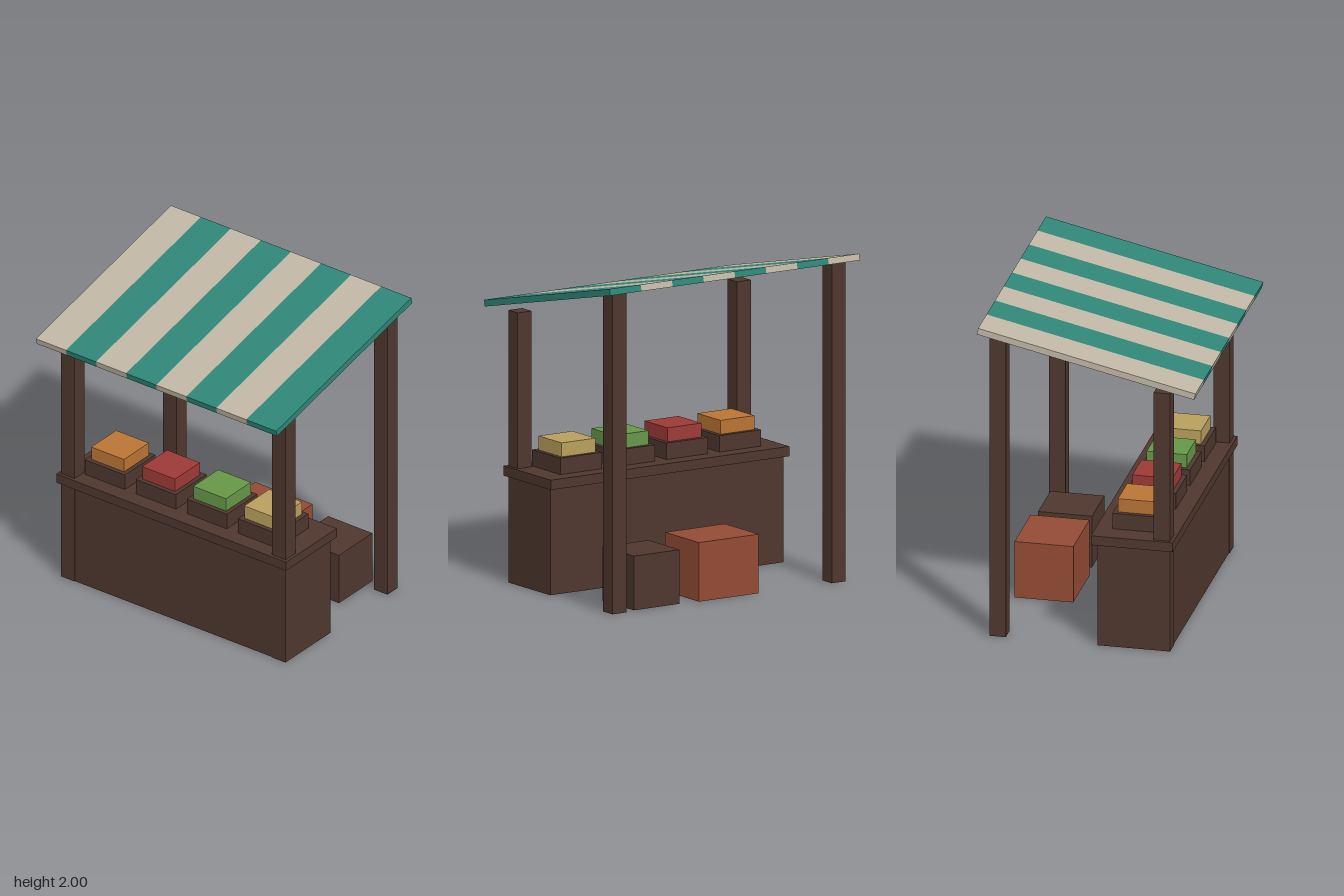
import * as THREE from 'three';

const mat = (name, color) => {
  const m = new THREE.MeshStandardMaterial({ color });
  m.name = name;
  return m;
};

export function createModel() {
  const wood = mat('dark wood', 0x4e372d);
  const cream = mat('cream cloth', 0xc0b6a5);
  const teal = mat('teal cloth', 0x2f8577);
  const terracotta = mat('terracotta', 0x934b35);
  const goods = [
    mat('orange goods', 0xb97435),
    mat('red goods', 0x9d3a37),
    mat('green goods', 0x669748),
    mat('yellow goods', 0xb89f5d),
  ];

  const stall = new THREE.Group();
  stall.name = 'marketStall';

  // Box standing on height y, centred on x and z
  const box = (name, material, [w, h, d], [x, y, z], parent = stall) => {
    const mesh = new THREE.Mesh(new THREE.BoxGeometry(w, h, d), material);
    mesh.name = name;
    mesh.position.set(x, y + h / 2, z);
    parent.add(mesh);
    return mesh;
  };

  // Counter with overhanging top
  box('counterBody', wood, [1.68, 0.65, 0.44], [0, 0, 0.275]);
  box('counterTop', wood, [1.72, 0.06, 0.5], [0, 0.65, 0.27]);

  // Corner posts, taller at the back
  for (const side of [-1, 1]) {
    box('frontPost', wood, [0.1, 1.66, 0.1], [side * 0.79, 0, 0.45]);
    box('backPost', wood, [0.1, 1.945, 0.1], [side * 0.79, 0, -0.555]);
  }

  // Crates of goods along the counter
  goods.forEach((material, i) => {
    const x = (i - 1.5) * 0.382;
    box('displayCrate', wood, [0.3, 0.1, 0.3], [x, 0.71, 0.27]);
    box('goods', material, [0.245, 0.085, 0.245], [x, 0.81, 0.27]);
  });

  // Storage boxes behind the counter
  box('storageCrate', wood, [0.33, 0.33, 0.33], [0.505, 0, -0.415]);
  box('storageBox', terracotta, [0.43, 0.36, 0.36], [-0.005, 0, -0.415]);

  // Sloping striped awning
  const awning = new THREE.Group();
  awning.name = 'awning';
  awning.position.y = 1.83;
  awning.rotation.x = 0.222;
  for (let i = 0; i < 8; i++) {
    box('awningStripe', i % 2 ? teal : cream, [0.225, 0.04, 1.363],
      [(i - 3.5) * 0.225, -0.02, 0], awning);
  }
  stall.add(awning);

  return stall;
}
